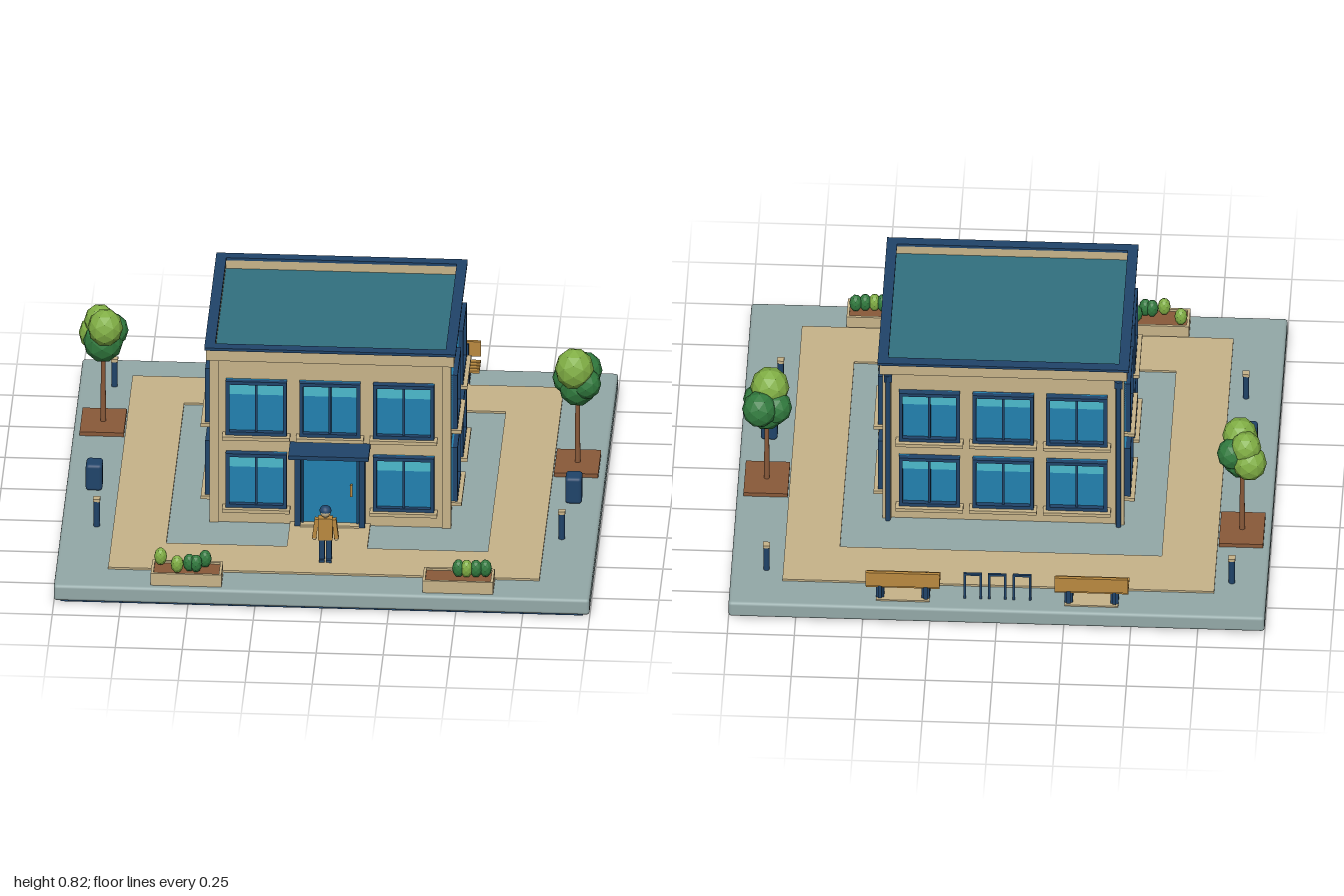
import * as THREE from 'three';
import { RoundedBoxGeometry } from 'three/addons/geometries/RoundedBoxGeometry.js';

const mat = (name, color) => {
  const m = new THREE.MeshStandardMaterial({ color });
  m.name = name;
  return m;
};

export function createModel() {
  const M = {
    stone: mat('sandstone', 0xc8b48a), paving: mat('grey paving', 0x94a9a8),
    navy: mat('navy metal', 0x20446a), roof: mat('teal roof', 0x327180),
    glass: mat('blue glass', 0x2281b0), sky: mat('pale glass', 0x4cbacd),
    soil: mat('brown soil', 0x8a5a3a), wood: mat('ochre wood', 0xba8a40),
    leaf: mat('light leaf', 0x80ae44), pine: mat('dark leaf', 0x317a3e),
  };
  const model = new THREE.Group();
  model.name = 'townBuilding';

  const add = (parent, name, geo, m, x, y, z) => {
    const mesh = new THREE.Mesh(geo, m);
    mesh.name = name;
    mesh.position.set(x, y, z);
    parent.add(mesh);
    return mesh;
  };
  // box placed by the centre of its underside
  const box = (parent, name, m, w, h, d, x, y, z) =>
    add(parent, name, new THREE.BoxGeometry(w, h, d), m, x, y + h / 2, z);
  const post = (parent, name, m, r, h, x, y, z, r2 = r) =>
    add(parent, name, new THREE.CylinderGeometry(r, r2, h, 10), m, x, y + h / 2, z);
  const blob = (parent, name, m, r, x, y, z, sy = 1) => {
    const geo = new THREE.IcosahedronGeometry(r, 1);
    add(parent, name, geo, m, x, y, z).scale.y = sy;
  };
  M.leaf.flatShading = M.pine.flatShading = true;
  const group = (name, x = 0, y = 0, z = 0, parent = model) => {
    const g = new THREE.Group();
    g.name = name;
    g.position.set(x, y, z);
    parent.add(g);
    return g;
  };
  // flat rectangular ring, from half sizes
  const ring = (parent, name, m, ox, oz, ix, iz, y, h) => {
    const rect = (P, a, b) => new P([[-a, -b], [a, -b], [a, b], [-a, b]].map(p => new THREE.Vector2(...p)));
    const s = rect(THREE.Shape, ox, oz);
    s.holes.push(rect(THREE.Path, ix, iz));
    const geo = new THREE.ExtrudeGeometry(s, { depth: h, bevelEnabled: false }).rotateX(-Math.PI / 2);
    return add(parent, name, geo, m, 0, y, 0);
  };

  // ground slab and paths
  const G = 0.078;
  box(model, 'slabUnderside', M.navy, 1.95, 0.016, 1.78, 0, 0, 0);
  add(model, 'slab', new RoundedBoxGeometry(2, 0.065, 1.83, 2, 0.012), M.paving, 0, G - 0.0325, 0);
  ring(model, 'pathRing', M.stone, 0.805, 0.771, 0.6, 0.563, G, 0.008);
  box(model, 'entrancePath', M.stone, 0.3, 0.008, 0.2, 0, G, 0.465);

  // building body
  const house = group('building');
  const W = 0.445, D = 0.365;
  box(house, 'walls', M.stone, 2 * W, 0.685, 2 * D, 0, G, 0);
  for (const sx of [-1, 1]) for (const sz of [-1, 1])
    box(house, 'cornerPilaster', M.stone, 0.034, 0.685, 0.034, sx * (W - 0.011), G, sz * (D - 0.011));
  ring(house, 'parapet', M.stone, 0.462, 0.378, 0.432, 0.347, 0.76, 0.046);
  ring(house, 'parapetCap', M.navy, 0.469, 0.384, 0.43, 0.345, 0.805, 0.011);
  box(house, 'roofDeck', M.roof, 0.866, 0.01, 0.696, 0, 0.76, 0);
  for (const s of [-1, 1]) {
    post(house, 'downpipe', M.navy, 0.01, 0.68, s * 0.43, G, -0.38);
    box(house, 'gutterHead', M.navy, 0.03, 0.03, 0.02, s * 0.43, 0.73, -0.378);
  }

  // windows, built facing +z
  const addWindow = (x, y, z, turn) => {
    const g = group('window', x, y, z, house);
    g.rotation.y = turn;
    const w = 0.228, h = 0.226, t = 0.014;
    box(g, 'pane', M.glass, w, h, 0.008, 0, 0, 0.004);
    box(g, 'upperPane', M.sky, w - 2 * t, 0.047, 0.002, 0, h - t - 0.047, 0.009);
    for (const s of [-1, 1]) box(g, 'frameSide', M.navy, t, h, 0.026, s * (w - t) / 2, 0, 0.013);
    for (const fy of [0, h - t]) box(g, 'frameRail', M.navy, w - 2 * t, t, 0.026, 0, fy, 0.013);
    box(g, 'mullion', M.navy, 0.009, h - 2 * t, 0.018, 0, t, 0.009);
    box(g, 'sill', M.stone, 0.252, 0.014, 0.042, 0, -0.014, 0.021);
  };
  for (const y of [0.152, 0.456]) {
    for (const x of [-0.275, 0, 0.275]) {
      if (x !== 0 || y > 0.3) addWindow(x, y, D, 0);
      addWindow(x, y, -D, Math.PI);
    }
    for (const z of [-0.178, 0.178]) for (const s of [-1, 1])
      addWindow(s * W, y, z, s * Math.PI / 2);
  }

  // entrance
  const door = group('entrance', 0, G, D, house);
  box(door, 'doorGlass', M.glass, 0.23, 0.3, 0.012, 0, 0.008, 0.006);
  for (const s of [-1, 1]) {
    box(door, 'doorPost', M.navy, 0.022, 0.325, 0.035, s * 0.12, 0, 0.0175);
    box(door, 'doorStile', M.navy, 0.007, 0.3, 0.02, s * 0.103, 0.008, 0.01);
  }
  box(door, 'doorLintel', M.navy, 0.22, 0.024, 0.035, 0, 0.3, 0.0175);
  box(door, 'threshold', M.stone, 0.22, 0.012, 0.04, 0, 0.004, 0.02);
  box(door, 'doorHandle', M.wood, 0.008, 0.05, 0.012, 0.08, 0.13, 0.018);
  box(door, 'canopy', M.navy, 0.3, 0.016, 0.115, 0, 0.328, 0.0575);

  // trees: blobs are [x, y, z, radius, light?]
  const addTree = (x, z, blobs) => {
    const g = group('tree', x, G, z);
    box(g, 'treeBed', M.soil, 0.165, 0.016, 0.195, 0, 0, 0);
    post(g, 'trunk', M.soil, 0.008, 0.32, 0, 0.01, 0, 0.011);
    for (const [bx, by, bz, r, light] of blobs) blob(g, 'foliage', light ? M.leaf : M.pine, r, bx, by, bz, 1.1);
  };
  addTree(-0.892, -0.39, [[0, 0.35, 0.0, 0.075, 0], [0.035, 0.385, -0.025, 0.058, 0],
    [-0.03, 0.36, -0.045, 0.064, 1], [0.01, 0.425, 0.035, 0.066, 1], [-0.015, 0.42, -0.03, 0.058, 1]]);
  addTree(0.892, -0.165, [[0, 0.335, 0, 0.072, 0], [0.025, 0.375, -0.05, 0.065, 0],
    [-0.035, 0.36, -0.015, 0.06, 0], [-0.01, 0.42, 0.028, 0.073, 1], [0.035, 0.36, 0.03, 0.055, 0]]);

  // planters with shrubs: [x, z, light?]
  const addPlanter = (x, shrubs) => {
    const g = group('planter', x, G, 0.835);
    ring(g, 'planterWall', M.stone, 0.132, 0.056, 0.122, 0.046, 0, 0.05);
    box(g, 'planterSoil', M.soil, 0.246, 0.042, 0.094, 0, 0, 0);
    for (const [sx, sz, light] of shrubs) {
      blob(g, 'shrub', light ? M.leaf : M.pine, 0.024, sx, 0.078, sz, 1.5);
    }
  };
  addPlanter(-0.507, [[-0.1, -0.03, 1], [-0.035, 0.028, 1], [0.01, 0.015, 0], [0.035, 0.02, 0], [0.067, -0.02, 0]]);
  addPlanter(0.507, [[0.0, 0, 0], [0.03, 0.002, 1], [0.065, 0, 0], [0.1, -0.005, 0]]);

  // bins and bollards on both sides
  for (const s of [-1, 1]) {
    const bin = group('litterBin', s * 0.895, G, 0.115);
    add(bin, 'binBody', new RoundedBoxGeometry(0.062, 0.108, 0.072, 2, 0.012), M.navy, 0, 0.054, 0);
    for (const z of [-0.7, 0.425]) {
      const b = group('bollard', s * 0.868, G, z);
      post(b, 'bollardPost', M.navy, 0.012, 0.105, 0, 0, 0);
      box(b, 'bollardCap', M.stone, 0.026, 0.012, 0.026, 0, 0.105, 0);
    }
  }

  // benches along the back
  for (const s of [-1, 1]) {
    const g = group('bench', s * 0.352, G, -0.83);
    box(g, 'benchPad', M.stone, 0.2, 0.006, 0.11, 0, 0, 0.01);
    for (const e of [-1, 1]) {
      box(g, 'benchLeg', M.navy, 0.03, 0.056, 0.075, e * 0.085, 0, 0.008);
      box(g, 'backBracket', M.navy, 0.014, 0.12, 0.01, e * 0.085, 0.01, -0.036);
    }
    for (let i = 0; i < 4; i++) box(g, 'seatSlat', M.wood, 0.275, 0.01, 0.018, 0, 0.055, -0.025 + i * 0.024);
    box(g, 'backrest', M.wood, 0.275, 0.062, 0.013, 0, 0.075, -0.047);
  }

  // bicycle hoops
  for (const x of [-0.092, 0, 0.092]) {
    const g = group('bicycleHoop', x, G, -0.842);
    for (const s of [-1, 1]) box(g, 'hoopLeg', M.navy, 0.009, 0.112, 0.009, s * 0.03, 0, 0);
    box(g, 'hoopBar', M.navy, 0.069, 0.009, 0.009, 0, 0.108, 0);
  }

  // standing figure
  const man = group('figure', 0, G + 0.008, 0.665);
  for (const s of [-1, 1]) {
    box(man, 'shoe', M.navy, 0.02, 0.01, 0.036, s * 0.013, 0, 0.004);
    box(man, 'leg', M.navy, 0.02, 0.085, 0.024, s * 0.013, 0.008, 0);
    const arm = box(man, 'arm', M.wood, 0.016, 0.08, 0.02, s * 0.037, 0.095, 0);
    arm.rotation.z = s * 0.12;
    add(man, 'hand', new THREE.SphereGeometry(0.009, 8, 6), M.stone, s * 0.041, 0.092, 0);
  }
  box(man, 'torso', M.wood, 0.054, 0.09, 0.032, 0, 0.09, 0);
  post(man, 'neck', M.stone, 0.008, 0.015, 0, 0.178, 0);
  add(man, 'head', new THREE.SphereGeometry(0.02, 12, 8), M.stone, 0, 0.201, 0);
  add(man, 'hair', new THREE.SphereGeometry(0.023, 12, 6, 0, Math.PI * 2, 0, Math.PI / 2), M.navy, 0, 0.205, -0.002);
  box(man, 'hairBase', M.navy, 0.034, 0.004, 0.03, 0, 0.203, -0.004);

  return model;
}
